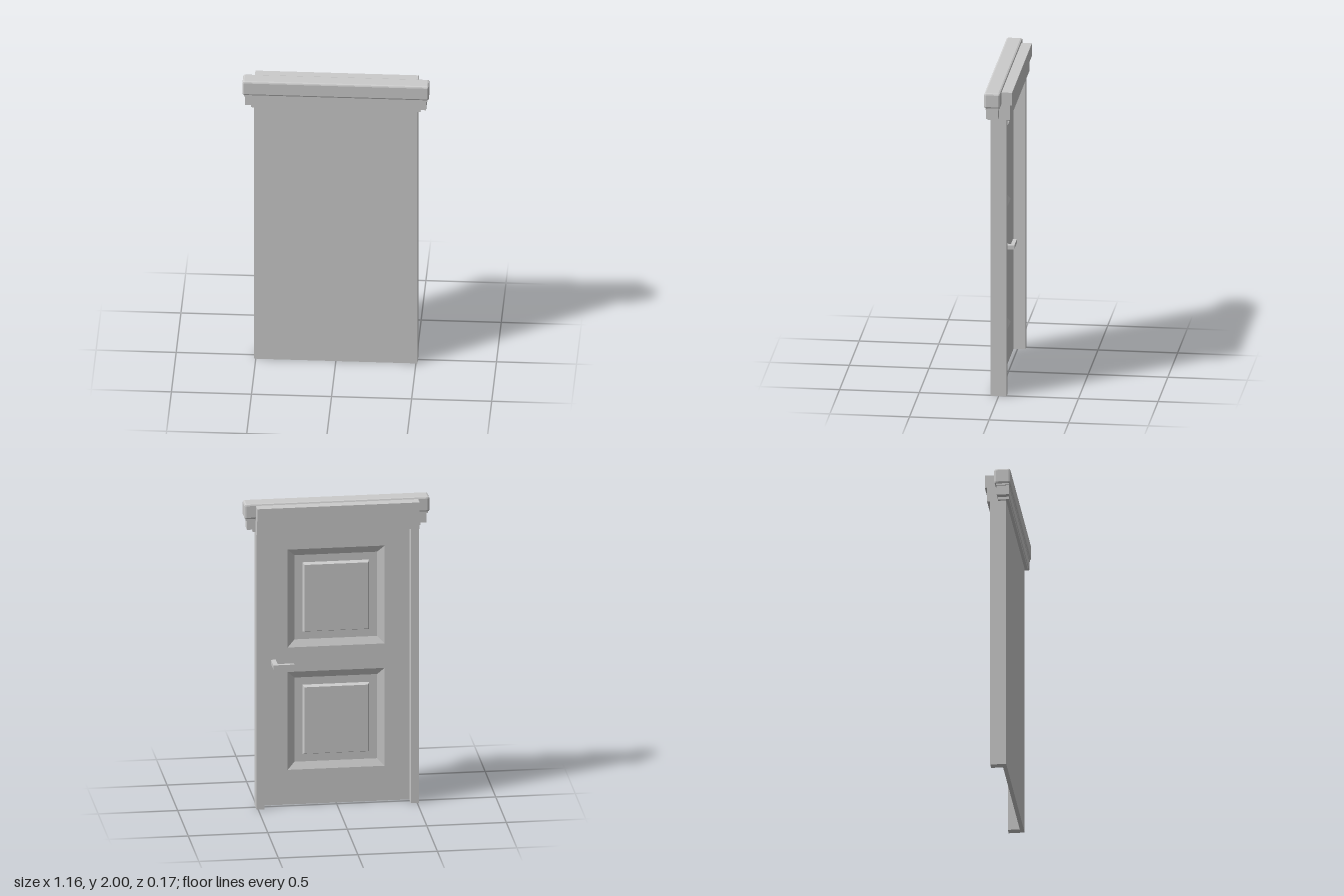
import * as THREE from 'three';
import { RoundedBoxGeometry } from 'three/addons/geometries/RoundedBoxGeometry.js';

const material = new THREE.MeshStandardMaterial({ color: 0xcccccc, flatShading: true });

// Rectangular loops [halfWidth, halfHeight, z] joined in order, facing -z
function loftRectangles(loops) {
  const positions = [];
  const corner = ([w, h, z], i) => [[w, h, z], [-w, h, z], [-w, -h, z], [w, -h, z]][i % 4];
  for (let k = 0; k < loops.length - 1; k++) {
    for (let i = 0; i < 4; i++) {
      const a = corner(loops[k], i), b = corner(loops[k], i + 1);
      const c = corner(loops[k + 1], i + 1), d = corner(loops[k + 1], i);
      positions.push(...a, ...c, ...b, ...a, ...d, ...c);
    }
  }
  const geometry = new THREE.BufferGeometry();
  geometry.setAttribute('position', new THREE.Float32BufferAttribute(positions, 3));
  geometry.computeVertexNormals();
  return geometry;
}

function rectangle(PathType, x0, x1, y0, y1) {
  return new PathType([[x0, y0], [x1, y0], [x1, y1], [x0, y1]].map(p => new THREE.Vector2(...p)));
}

export function createModel() {
  const model = new THREE.Group();
  model.name = 'door';

  const add = (parent, name, geometry, x = 0, y = 0, z = 0) => {
    const mesh = new THREE.Mesh(geometry, material);
    mesh.name = name;
    mesh.position.set(x, y, z);
    parent.add(mesh);
    return mesh;
  };
  // Box given by its limits on each axis
  const addBox = (parent, name, [x0, x1], [y0, y1], [z0, z1]) => add(parent, name,
    new THREE.BoxGeometry(x1 - x0, y1 - y0, z1 - z0),
    (x0 + x1) / 2, (y0 + y1) / 2, (z0 + z1) / 2);

  // Door leaf: flat front sheet, with two panel openings behind it
  const leaf = new THREE.Group();
  leaf.name = 'leaf';
  model.add(leaf);
  const faceZ = 0.025, floorZ = 0.046;
  addBox(leaf, 'frontSheet', [-0.46, 0.46], [0, 1.81], [floorZ, 0.05]);

  const panels = [{ name: 'lowerPanel', y: 0.55 }, { name: 'upperPanel', y: 1.355 }];
  const halfW = 0.305, halfH = 0.322;
  const outline = rectangle(THREE.Shape, -0.46, 0.46, 0, 1.81);
  for (const { y } of panels) {
    outline.holes.push(rectangle(THREE.Path, -halfW, halfW, y - halfH, y + halfH));
  }
  add(leaf, 'stilesAndRails',
    new THREE.ExtrudeGeometry(outline, { depth: floorZ - faceZ, bevelEnabled: false }), 0, 0, faceZ);

  // Bevelled recess with a raised field in the middle
  for (const { name, y } of panels) {
    add(leaf, name, loftRectangles([
      [halfW, halfH, faceZ],
      [halfW - 0.045, halfH - 0.045, floorZ - 0.001],
      [0.21, 0.228, floorZ - 0.001],
      [0.2, 0.218, 0.02],
      [0, 0, 0.02],
    ]), 0, y, 0);
  }

  // Jambs
  for (const side of [-1, 1]) {
    addBox(model, side > 0 ? 'leftJamb' : 'rightJamb',
      side > 0 ? [0.46, 0.51] : [-0.51, -0.46], [0, 1.81], [-0.05, 0.05]);
  }

  // Lever handle
  const handle = new THREE.Group();
  handle.name = 'handle';
  model.add(handle);
  addBox(handle, 'handleStem', [0.38, 0.41], [0.93, 0.957], [-0.062, faceZ]);
  addBox(handle, 'handleLever', [0.277, 0.41], [0.93, 0.957], [-0.086, -0.062]);

  // Head of the frame on the back
  const head = new THREE.Group();
  head.name = 'backHead';
  model.add(head);
  addBox(head, 'lintel', [-0.51, 0.51], [1.81, 1.905], [-0.07, 0.05]);
  addBox(head, 'lintelCap', [-0.51, 0.51], [1.905, 1.988], [-0.084, 0]);

  // Stepped cornice on the front
  const cornice = new THREE.Group();
  cornice.name = 'cornice';
  model.add(cornice);
  addBox(cornice, 'lowerMoulding', [-0.528, 0.528], [1.811, 1.828], [0, 0.069]);
  addBox(cornice, 'middleMoulding', [-0.565, 0.565], [1.828, 1.89], [-0.003, 0.073]);
  addBox(cornice, 'upperMoulding', [-0.573, 0.573], [1.89, 1.91], [-0.008, 0.076]);
  add(cornice, 'corniceCap', new RoundedBoxGeometry(1.164, 0.1, 0.102, 1, 0.012), 0, 1.95, 0.033);

  return model;
}
